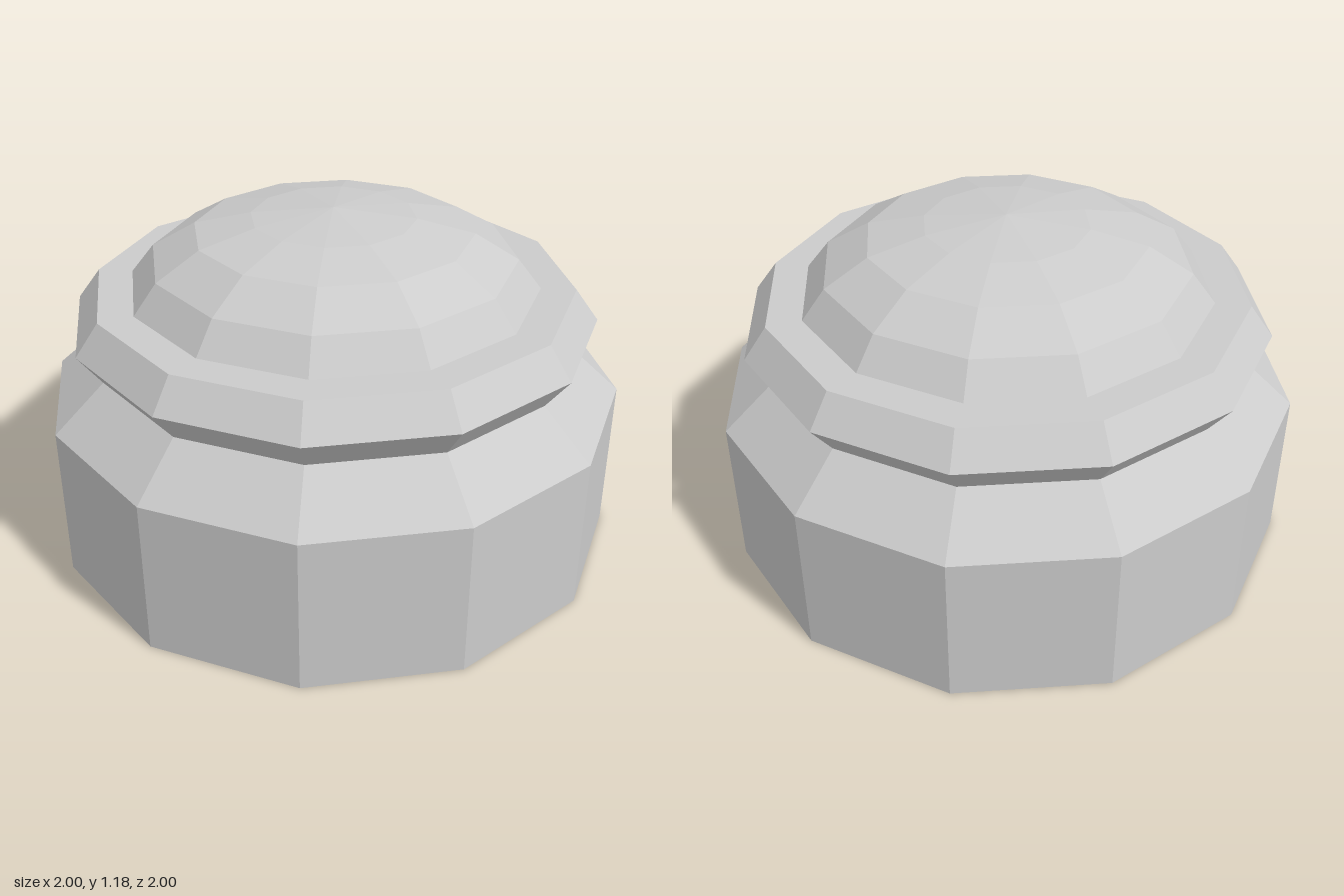
import * as THREE from 'three';

const SIDES = 12;

const material = new THREE.MeshStandardMaterial({
  color: 0xcccccc,
  flatShading: true,
  side: THREE.DoubleSide,
});

// One open, faceted shell turned around the y axis from [radius, height] pairs
function ring(name, profile) {
  const points = profile.map(([r, y]) => new THREE.Vector2(r, y));
  const mesh = new THREE.Mesh(new THREE.LatheGeometry(points, SIDES), material);
  mesh.name = name;
  return mesh;
}

export function createModel() {
  const group = new THREE.Group();
  group.name = 'domedCap';

  group.add(
    // Straight wall, open at the bottom
    ring('baseWall', [[1, 0], [1, 0.545]]),
    // Sloping shoulder up to the neck
    ring('shoulder', [[1, 0.545], [0.825, 0.703]]),
    // V-edged collar with a flat ledge on top
    ring('collar', [[0.825, 0.703], [0.905, 0.812], [0.825, 0.92], [0.705, 0.92]]),
    // Shallow faceted dome
    ring('dome', [[0.705, 0.92], [0.625, 1.022], [0.475, 1.11], [0.28, 1.155], [0, 1.184]]),
  );
  return group;
}
